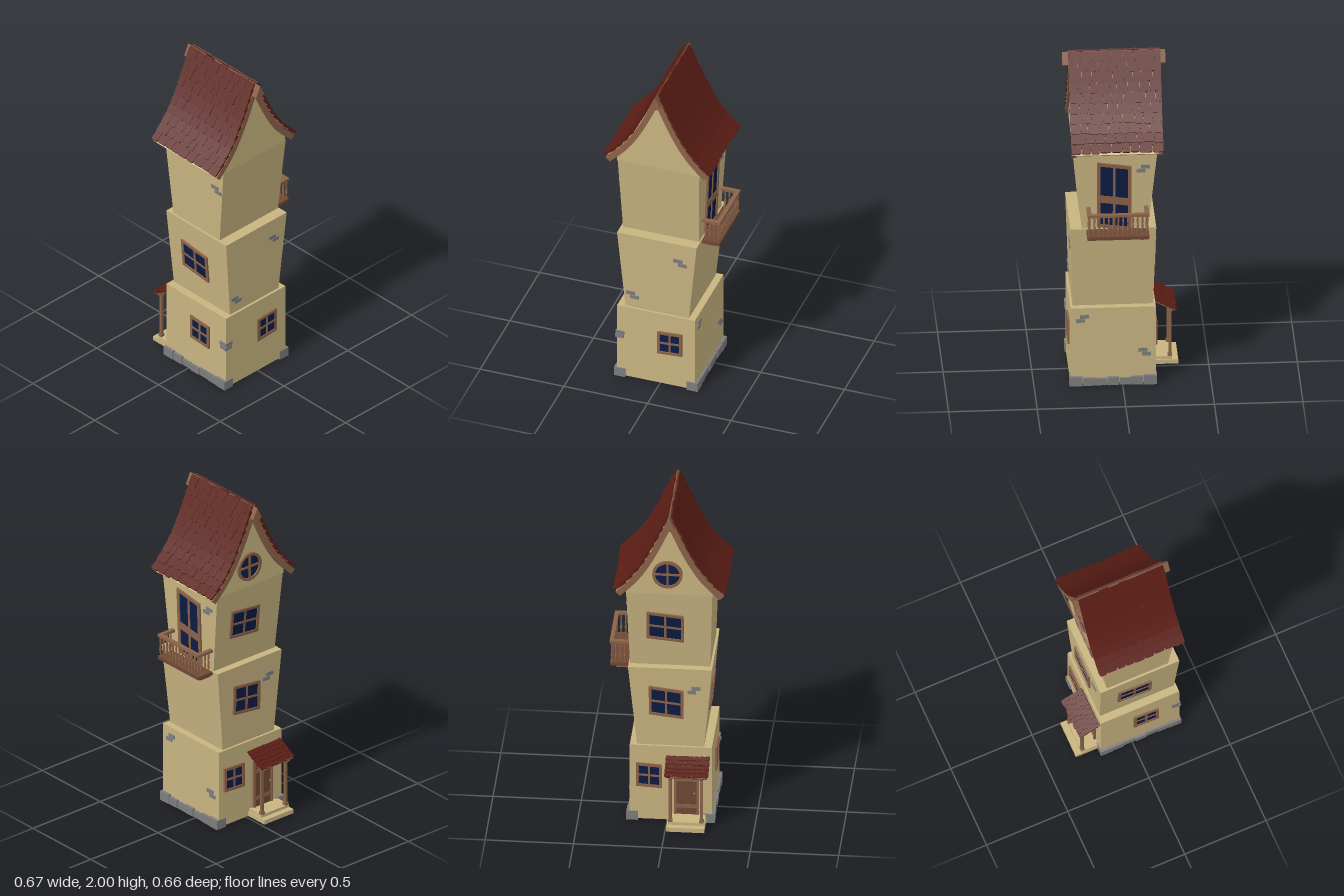
import * as THREE from 'three';
import { mergeGeometries } from 'three/addons/utils/BufferGeometryUtils.js';

const mat = (color, side = THREE.FrontSide) =>
  new THREE.MeshStandardMaterial({ color, side, flatShading: true });
const PLASTER = mat(0xc8b480), WOOD = mat(0x8b6349), DARKWOOD = mat(0x6e4733), TILE = mat(0x5a1d14);
const GLASS = mat(0x0d1b42), STONE = mat(0x7d7d7d);
const V3 = (x, y, z) => new THREE.Vector3(x, y, z);

let seed = 7;
const rnd = () => (seed = (seed * 16807) % 2147483647) / 2147483647;

const boxGeo = (w, h, d, x = 0, y = 0, z = 0) => new THREE.BoxGeometry(w, h, d).translate(x, y, z);
function mesh(name, geo, material) {
  const m = new THREE.Mesh(Array.isArray(geo) ? mergeGeometries(geo) : geo, material);
  m.name = name;
  return m;
}
function group(name, ...children) {
  const g = new THREE.Group();
  g.name = name;
  if (children.length) g.add(...children);
  return g;
}

// Storeys: bottom and top outline as [x0, x1, z0, z1]
const STOREYS = [
  { y0: 0.008, y1: 0.482, b: [-0.255, 0.21, -0.188, 0.294], t: [-0.255, 0.21, -0.188, 0.294] },
  { y0: 0.482, y1: 0.985, b: [-0.21, 0.17, -0.175, 0.28], t: [-0.255, 0.22, -0.19, 0.295] },
  { y0: 0.985, y1: 1.47, b: [-0.242, 0.212, -0.145, 0.23], t: [-0.258, 0.23, -0.196, 0.276] },
];
function storeyGeo({ y0, y1, b, t }) {
  const g = new THREE.BoxGeometry(1, 1, 1), p = g.attributes.position;
  for (let i = 0; i < p.count; i++) {
    const up = p.getY(i) > 0, o = up ? t : b;
    p.setXYZ(i, o[p.getX(i) > 0 ? 1 : 0], up ? y1 : y0, o[p.getZ(i) > 0 ? 3 : 2]);
  }
  g.computeVertexNormals();
  return g;
}
// Sets an object on a leaning wall; u is the world coordinate along the wall
const WALLS = { front: [3, 1, 0], back: [2, -1, Math.PI], left: [1, 1, Math.PI / 2], right: [0, -1, -Math.PI / 2] };
function mount(obj, storey, wall, u, y) {
  const { y0, y1, b, t } = STOREYS[storey], [k, s, turn] = WALLS[wall];
  const d = b[k] + (t[k] - b[k]) * (y - y0) / (y1 - y0);
  if (k > 1) obj.position.set(u, y, d); else obj.position.set(d, y, u);
  obj.rotation.set(Math.atan(s * (t[k] - b[k]) / (y1 - y0)), turn, 0, 'YXZ');
  return obj;
}

// Framed panes, slanted by shear k; bars lists heights of the cross bars
function paned(name, w, h, k, bars = [0], f = 0.016) {
  const frame = [
    boxGeo(w, f, 0.022, 0, h / 2 - f / 2), boxGeo(w, f, 0.022, 0, -h / 2 + f / 2),
    boxGeo(f, h - 2 * f, 0.022, w / 2 - f / 2), boxGeo(f, h - 2 * f, 0.022, -w / 2 + f / 2),
    boxGeo(f * 0.8, h - 2 * f, 0.017),
    ...bars.map(([y, t] = [0, f * 0.8]) => boxGeo(w - 2 * f, t, 0.018, 0, y)),
  ];
  const shear = new THREE.Matrix4().set(1, 0, 0, 0, k, 1, 0, 0, 0, 0, 1, 0, 0, 0, 0, 1);
  const g = group(name, mesh('frame', frame, WOOD), mesh('glass', boxGeo(w - f, h - f, 0.01), GLASS));
  g.children.forEach(m => { m.geometry.applyMatrix4(shear); m.geometry.computeVertexNormals(); });
  return g;
}
const windowPanes = (w, h, k) => paned('window', w, h, k, [[0, 0.012]]);

// Tiles: at(f) gives a point down the slope, a is the across axis
function tiles(at, length, rows, a, centre, width, tileW, tileL, thick) {
  const out = [], step = length / rows;
  for (let i = 0; i < rows; i++) {
    const count = Math.round(width / tileW), cuts = [0];
    for (let j = 1; j < count; j++) cuts.push((j + (i % 2 ? 0.2 : -0.2) + (rnd() - 0.5) * 0.4) / count);
    cuts.push(1);
    for (let j = 0; j < count; j++) {
      const end = (i + 1) * step, L = Math.min(tileL, end);
      const low = at(end / length), d = low.clone().sub(at((end - L) / length)).normalize();
      const n = a.clone().cross(d);
      d.addScaledVector(n, thick * 1.1 / tileL).normalize();
      const up = a.clone().cross(d), w = (cuts[j + 1] - cuts[j]) * width - 0.0015, r = Math.min(w * 0.25, 0.014);
      const s = new THREE.Shape();
      s.moveTo(-w / 2, -L);
      s.lineTo(w / 2, -L);
      s.lineTo(w / 2, -r);
      s.quadraticCurveTo(w / 2, 0, w / 2 - r, 0);
      s.lineTo(-w / 2 + r, 0);
      s.quadraticCurveTo(-w / 2, 0, -w / 2, -r);
      const o = low.addScaledVector(n, thick * (1.1 + rnd() * 0.3)).addScaledVector(d, (rnd() - 0.5) * 0.008)
        .addScaledVector(a, ((cuts[j] + cuts[j + 1]) / 2 - 0.5) * width).add(centre);
      out.push(new THREE.ExtrudeGeometry(s, { depth: thick, bevelEnabled: false, curveSegments: 3 })
        .applyMatrix4(new THREE.Matrix4().makeBasis(a, d, up).setPosition(o)));
    }
  }
  return out;
}

// Roof profile, half of it, from ridge to eave
const RX = -0.019;
const curve = new THREE.SplineCurve([[0, 1.982], [0.11, 1.742], [0.2, 1.595], [0.306, 1.483]].map(p => new THREE.Vector2(...p)));
function offsetCurve(off) {
  const pts = [];
  for (let i = 0; i <= 16; i++) {
    const p = curve.getPointAt(i / 16), t = curve.getTangentAt(i / 16);
    p.x += t.y * off;
    p.y -= t.x * off;
    if (p.x > 0.002 || (!off && !i)) pts.push(p);
  }
  if (off) pts.unshift(new THREE.Vector2(0, pts[0].y + pts[0].x * 2.3));
  return pts;
}
const mirrored = pts => [...pts.slice(1).reverse().map(p => new THREE.Vector2(-p.x, p.y)), ...pts];
const extrude = (pts, z0, z1) => new THREE.ExtrudeGeometry(new THREE.Shape(pts), { depth: z1 - z0, bevelEnabled: false })
  .translate(RX, 0, z0);
const roofStrip = (thick, z0, z1) =>
  extrude([...mirrored(offsetCurve(0)), ...mirrored(offsetCurve(thick)).reverse()], z0, z1);

function buildRoof() {
  const half = [...offsetCurve(0.018).filter(p => p.x < 0.24), new THREE.Vector2(0.244, 1.515), new THREE.Vector2(0.244, 1.47)];
  const roof = group('roof',
    mesh('gable', extrude(mirrored(half), -0.196, 0.276), PLASTER),
    mesh('roofDeck', roofStrip(0.014, -0.2, 0.27), PLASTER),
    mesh('bargeboards', [roofStrip(0.034, 0.262, 0.29), roofStrip(0.034, -0.222, -0.194)], WOOD),
    mesh('ridgeBeam', extrude([[0, 1.988], [-0.032, 1.92], [-0.018, 1.908], [0.018, 1.908], [0.032, 1.92]]
      .map(p => new THREE.Vector2(...p)), -0.255, 0.327), WOOD));
  for (const s of [1, -1]) {
    const at = f => { const p = curve.getPointAt(f); return V3(RX + s * p.x, p.y, 0); };
    roof.add(mesh('roofTiles', tiles(at, curve.getLength(), 10, V3(0, 0, s), V3(0, 0.004, 0.033), 0.522, 0.06, 0.085, 0.01), TILE));
  }
  // Round attic window
  const ring = new THREE.Shape().absarc(0, 0, 0.086, 0, Math.PI * 2);
  ring.holes.push(new THREE.Path().absarc(0, 0, 0.07, 0, Math.PI * 2));
  const round = group('roundWindow',
    mesh('frame', new THREE.ExtrudeGeometry(ring, { depth: 0.014, bevelEnabled: false, curveSegments: 14 }), WOOD),
    mesh('bars', [boxGeo(0.145, 0.012, 0.01, 0, 0, 0.006), boxGeo(0.012, 0.145, 0.01, 0, 0, 0.006)], WOOD),
    mesh('glass', new THREE.CylinderGeometry(0.075, 0.075, 0.01, 28).rotateX(Math.PI / 2), GLASS));
  round.position.set(-0.005, 1.6, -0.196);
  round.rotation.y = Math.PI;
  roof.add(round);
  return roof;
}

function buildBalcony() {
  const z0 = -0.145, z1 = 0.205, x1 = 0.328, zc = (z0 + z1) / 2;
  const profile = [[0.004, 0], [0.004, 0.02], [0.0075, 0.045], [0.004, 0.08], [0.006, 0.1], [0.004, 0.13]]
    .map(p => new THREE.Vector2(...p));
  const posts = [];
  const baluster = (x, z) => posts.push(new THREE.LatheGeometry(profile, 6).translate(x, 0.98, z));
  for (let i = 0; i < 13; i++) baluster(x1 - 0.012, z0 + 0.012 + i * (z1 - z0 - 0.024) / 12);
  for (const z of [z0 + 0.012, z1 - 0.012]) for (let i = 0; i < 3; i++) baluster(0.24 + i * 0.026, z);
  return group('balcony',
    mesh('floor', boxGeo(0.115, 0.02, z1 - z0, 0.2675, 0.974, zc), DARKWOOD),
    mesh('rails', [boxGeo(0.024, 0.016, z1 - z0, x1 - 0.012, 1.115, zc),
      ...[z0 + 0.012, z1 - 0.012].map(z => boxGeo(0.09, 0.016, 0.024, 0.262, 1.115, z))], WOOD),
    mesh('balusters', posts, WOOD),
    mesh('brackets', [0.17, -0.11].map(z => boxGeo(0.09, 0.024, 0.028, 0.245, 0.956, z)), WOOD));
}

function buildPorch() {
  const cx = -0.118, at = f => V3(0, 0.418 - 0.07 * f - 0.012 * f * (1 - f), -0.187 - 0.126 * f);
  const slope = Math.atan2(0.07, 0.126);
  const sloped = (w, h, d, x, y) => boxGeo(w, h, d).rotateX(-slope).translate(x, y, -0.25);
  const door = group('door',
    mesh('frame', [boxGeo(0.014, 0.29, 0.024, -0.064), boxGeo(0.014, 0.29, 0.024, 0.064), boxGeo(0.142, 0.016, 0.026, 0, 0.145)], WOOD),
    mesh('planks', [-1.5, -0.5, 0.5, 1.5].map(i => boxGeo(0.0275, 0.285, 0.014, i * 0.0285)), DARKWOOD),
    mesh('crossBoards', [0.085, -0.085].map(y => boxGeo(0.112, 0.022, 0.02, 0, y)), WOOD),
    mesh('knob', new THREE.SphereGeometry(0.006, 8, 6).translate(0.045, 0, 0.014), STONE));
  return group('porch',
    mesh('steps', [boxGeo(0.216, 0.026, 0.145, cx + 0.002, 0.021, -0.256), boxGeo(0.205, 0.018, 0.11, cx, 0.043, -0.238)], PLASTER),
    mesh('posts', [-0.205, -0.028].flatMap(x => [boxGeo(0.016, 0.31, 0.016, x, 0.205, -0.282),
      boxGeo(0.024, 0.016, 0.024, x, 0.06, -0.282), boxGeo(0.024, 0.016, 0.024, x, 0.338, -0.282)]), WOOD),
    mesh('beam', boxGeo(0.225, 0.014, 0.018, cx, 0.352, -0.282), WOOD),
    mesh('rafters', [-0.205, -0.028].map(x => sloped(0.014, 0.014, 0.138, x, 0.372)), WOOD),
    mesh('deck', sloped(0.235, 0.006, 0.14, cx - 0.002, 0.38), DARKWOOD),
    mesh('porchTiles', tiles(at, 0.145, 5, V3(1, 0, 0), V3(cx - 0.002, 0, 0), 0.25, 0.031, 0.042, 0.006), TILE),
    mount(door, 0, 'back', -0.112, 0.19));
}

function buildStones() {
  const out = [], [x0, x1, z0, z1] = STOREYS[0].b, n = 7, step = (z1 - z0) / n;
  for (const x of [x0 + 0.016, x1 - 0.014]) for (let i = 0; i < n; i++) {
    const corner = i === 0 || i === n - 1, h = corner ? 0.056 : 0.042 + rnd() * 0.012;
    out.push(boxGeo(corner ? 0.066 : 0.05 + rnd() * 0.012, h, step - 0.003 + (corner ? 0.008 : 0),
      x, h / 2, z0 + (i + 0.5) * step + (i === 0 ? -0.004 : i === n - 1 ? 0.004 : 0)));
  }
  return mesh('foundationStones', out, STONE);
}

export function createModel() {
  const house = group('crookedTowerHouse');
  STOREYS.forEach((s, i) => house.add(mesh(['groundStorey', 'middleStorey', 'upperStorey'][i], storeyGeo(s), PLASTER)));
  house.add(buildRoof(), buildBalcony(), buildPorch(), buildStones());

  // Windows: storey, wall, place along wall, height, width, tall, slant
  for (const [s, wall, u, y, w, h, k] of [
    [0, 'front', 0.061, 0.292, 0.148, 0.148, 0.06], [0, 'back', 0.1, 0.292, 0.148, 0.148, -0.06],
    [0, 'right', 0.088, 0.292, 0.152, 0.148, -0.06], [1, 'right', 0.027, 0.74, 0.205, 0.18, -0.13],
    [1, 'back', 0.004, 0.765, 0.195, 0.182, -0.12], [2, 'back', 0.01, 1.247, 0.21, 0.178, -0.1],
  ]) house.add(mount(windowPanes(w, h, k), s, wall, u, y));
  house.add(mount(paned('balconyDoor', 0.195, 0.41, -0.15, [[-0.025, 0.045]], 0.02), 2, 'left', 0.048, 1.19));

  // Exposed bricks: storey, wall, place along wall, height, shift of the lower brick
  for (const [s, wall, u, y, shift] of [
    [1, 'front', 0.108, 0.87, 0.026], [1, 'front', -0.178, 0.58, 0.024], [0, 'front', -0.236, 0.301, -0.004],
    [0, 'left', 0.215, 0.43, -0.022], [0, 'left', -0.115, 0.212, 0.02], [2, 'left', -0.128, 1.375, -0.026],
    [1, 'back', -0.165, 0.862, -0.024], [2, 'right', 0.205, 1.345, 0.024], [0, 'right', 0.272, 0.301, 0.004],
  ]) {
    const bricks = [boxGeo(0.052, 0.022, 0.012), boxGeo(0.05, 0.021, 0.012, shift, -0.025)];
    house.add(mount(mesh('exposedBricks', bricks, STONE), s, wall, u, y));
  }
  return house;
}
